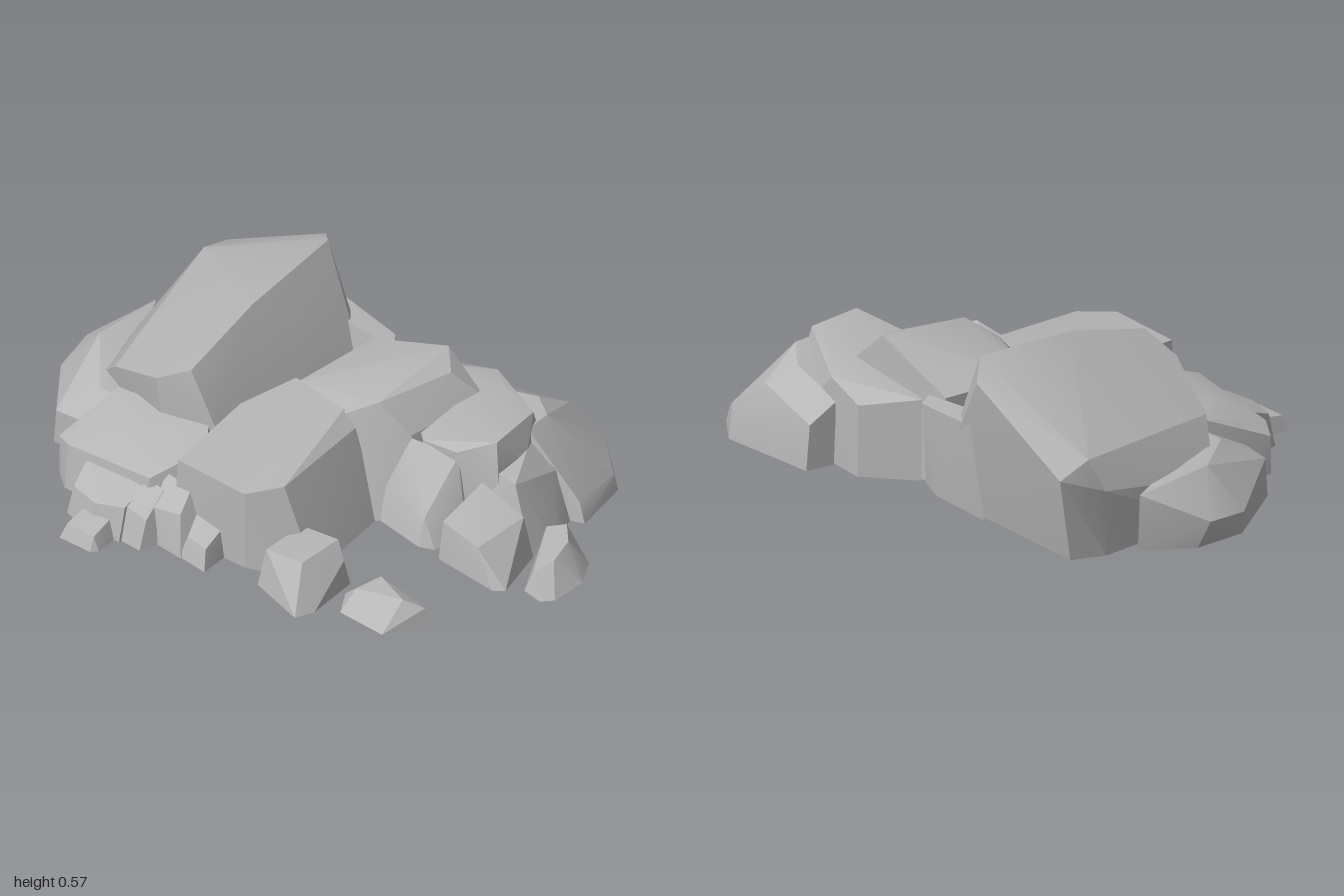
import * as THREE from 'three';
import { ConvexGeometry } from 'three/addons/geometries/ConvexGeometry.js';
import { toCreasedNormals } from 'three/addons/utils/BufferGeometryUtils.js';

// A faceted boulder: hull of upper corners [x, y, z] and ground corners [x, z].
// It is left open underneath and on the buried sides, given as directions [x, z].
function boulderGeometry(upper, ground, buried) {
  const corners = upper.map(p => new THREE.Vector3(...p));
  ground.forEach(([x, z]) => corners.push(new THREE.Vector3(x, 0, z)));
  const hull = new ConvexGeometry(corners).getAttribute('position');
  const kept = [];
  const normal = new THREE.Vector3();
  for (let i = 0; i < hull.count; i += 3) {
    const tri = [0, 1, 2].map(j => new THREE.Vector3().fromBufferAttribute(hull, i + j));
    new THREE.Triangle(...tri).getNormal(normal);
    const hidden = buried.some(([x, z]) => normal.x * x + normal.z * z > 0.8);
    if (hidden || tri.every(p => p.y < 0.001)) continue;
    tri.forEach(p => kept.push(p.x, p.y, p.z));
  }
  const geometry = new THREE.BufferGeometry();
  geometry.setAttribute('position', new THREE.Float32BufferAttribute(kept, 3));
  return toCreasedNormals(geometry, 0.35);
}

export function createModel() {
  const group = new THREE.Group();
  group.name = 'rockFormation';
  const stone = new THREE.MeshStandardMaterial({ color: 0xb6b6b6, side: THREE.DoubleSide });
  stone.name = 'grey stone';

  const rock = (name, upper, ground, buried = []) => {
    const mesh = new THREE.Mesh(boulderGeometry(upper, ground, buried), stone);
    mesh.name = name;
    group.add(mesh);
  };

  // Tall tilted slab and the ledge behind it
  rock('mainSlab',
    [[-0.78, 0.31, -0.56], [-0.78, 0.35, -0.44], [-0.38, 0.52, -0.565], [-0.31, 0.57, -0.49],
      [-0.31, 0.54, -0.1], [-0.315, 0.455, 0.21], [-0.43, 0.39, 0.245], [-0.66, 0.285, 0.17],
      [-0.8, 0.14, 0.08], [-0.82, 0.24, -0.4], [-0.22, 0.28, 0.21], [-0.18, 0.31, -0.45]],
    [[-0.08, -0.48], [-0.75, -0.49], [-0.8, -0.38], [-0.8, 0.06], [-0.4, 0.22], [-0.13, 0.18]]);
  rock('backLedge',
    [[-0.32, 0.34, -0.54], [-0.25, 0.33, -0.53], [-0.04, 0.31, -0.5], [0, 0.31, -0.44], [-0.2, 0.33, -0.44]],
    [[-0.34, -0.5], [-0.1, -0.49], [0, -0.45], [-0.1, -0.4]], [[-0.9, 0.4]]);

  // Low shoulders on the right-hand flank and front corner
  rock('sideShoulder',
    [[-0.99, 0.1, -0.1], [-0.85, 0.2, -0.28], [-0.86, 0.225, 0], [-0.97, 0.08, 0.06],
      [-0.84, 0.17, 0.12], [-0.7, 0.2, 0.2], [-0.79, 0.13, 0.31], [-0.69, 0.14, 0.315], [-0.62, 0.2, 0.2]],
    [[-0.95, -0.12], [-0.84, -0.28], [-0.96, 0.06], [-0.8, 0.31], [-0.66, 0.31], [-0.7, -0.1]], [[1, 0]]);
  rock('frontShoulder',
    [[-0.69, 0.14, 0.42], [-0.62, 0.24, 0.2], [-0.25, 0.27, 0.2], [-0.22, 0.23, 0.38],
      [-0.27, 0.2, 0.48], [-0.62, 0.16, 0.46], [-0.5, 0.23, 0.36], [-0.18, 0.24, 0.3]],
    [[-0.68, 0.43], [-0.65, 0.24], [-0.62, 0.48], [-0.28, 0.505], [-0.17, 0.43], [-0.17, 0.2]], [[0, -1]]);

  // Two central blocks
  rock('centreFrontBlock',
    [[-0.2, 0.31, 0.1], [-0.13, 0.33, -0.1], [0.115, 0.355, -0.04], [0.18, 0.3, 0.35],
      [0.1, 0.295, 0.455], [-0.18, 0.295, 0.445], [0.17, 0.31, -0.03]],
    [[0.27, -0.03], [0.3, 0.34], [0.2, 0.42], [0.1, 0.455], [-0.2, 0.45], [-0.2, 0.1], [-0.12, -0.1]], [[0, -1]]);
  rock('centreBackBlock',
    [[-0.075, 0.32, -0.43], [0.235, 0.435, -0.43], [0.22, 0.4, -0.09], [0.3, 0.4, -0.36],
      [0.38, 0.3, -0.43], [0.32, 0.29, -0.13], [-0.12, 0.32, -0.1], [0.13, 0.35, -0.03]],
    [[0.4, -0.44], [0.36, -0.08], [0.27, 0], [0.15, -0.02], [-0.11, -0.1], [-0.06, -0.44]]);

  // Stepped cluster at the back left
  rock('clusterBlock',
    [[0.03, 0.28, -0.44], [0.085, 0.25, -0.49], [0.18, 0.25, -0.58], [0.325, 0.3, -0.57],
      [0.43, 0.325, -0.48], [0.59, 0.34, -0.42], [0.6, 0.34, -0.22], [0.49, 0.29, -0.15],
      [0.36, 0.285, -0.14], [0.63, 0.22, -0.19], [0.64, 0.22, -0.32]],
    [[0.02, -0.45], [0.18, -0.585], [0.58, -0.55], [0.64, -0.3], [0.61, -0.18], [0.4, -0.12], [0.3, -0.13]],
    [[-0.7, 0.7]]);
  rock('clusterButtress',
    [[0.32, 0.28, -0.13], [0.49, 0.27, -0.16], [0.47, 0.1, -0.01], [0.29, 0.14, -0.05], [0.53, 0.14, -0.13]],
    [[0.25, -0.02], [0.47, 0.02], [0.52, 0], [0.57, -0.12], [0.3, -0.2]], [[0, -1]]);
  rock('clusterBackBlock',
    [[0.3, 0.22, -0.57], [0.315, 0.16, -0.67], [0.5, 0.28, -0.56], [0.55, 0.225, -0.655],
      [0.6, 0.3, -0.48], [0.6, 0.3, -0.38], [0.68, 0.18, -0.4], [0.67, 0.12, -0.69],
      [0.77, 0.06, -0.61], [0.78, 0.07, -0.42]],
    [[0.3, -0.58], [0.32, -0.68], [0.67, -0.705], [0.78, -0.62], [0.81, -0.41], [0.72, -0.38], [0.6, -0.36]],
    [[-0.5, 0.87]]);
  rock('clusterSideBlock',
    [[0.6, 0.24, -0.2], [0.6, 0.26, -0.4], [0.7, 0.235, -0.19], [0.7, 0.17, -0.4], [0.76, 0.09, -0.27]],
    [[0.6, -0.14], [0.79, -0.16], [0.8, -0.28], [0.76, -0.4]], [[-1, 0]]);

  // Loose stones on the left
  rock('leftStone',
    [[0.57, 0.15, 0.02], [0.58, 0.2, -0.17], [0.75, 0.14, -0.17], [0.72, 0.12, 0.03]],
    [[0.56, 0.03], [0.8, 0.055], [0.835, 0.03], [0.79, -0.17], [0.58, -0.18]], [[0, -1]]);
  rock('leftOuterStone',
    [[0.78, 0.07, -0.25], [0.84, 0.09, -0.28], [0.91, 0.1, -0.2], [0.93, 0.09, -0.1], [0.9, 0.07, -0.03]],
    [[0.77, -0.25], [0.83, -0.29], [0.95, -0.255], [1, -0.16], [0.99, -0.03], [0.955, 0.005], [0.88, -0.01]]);

  // Loose stones in front
  rock('squareStone',
    [[0.22, 0.14, 0.31], [0.37, 0.155, 0.31], [0.35, 0.145, 0.47], [0.21, 0.14, 0.48], [0.41, 0.1, 0.33]],
    [[0.21, 0.3], [0.42, 0.31], [0.425, 0.5], [0.395, 0.565], [0.19, 0.5]]);
  rock('flatStone',
    [[0.53, 0.07, 0.29], [0.68, 0.09, 0.365], [0.5, 0.06, 0.38], [0.74, 0.06, 0.325]],
    [[0.44, 0.36], [0.52, 0.26], [0.75, 0.32], [0.67, 0.46], [0.49, 0.45]]);
  rock('frontStone',
    [[-0.53, 0.15, 0.48], [-0.29, 0.16, 0.48], [-0.3, 0.12, 0.57], [-0.4, 0.11, 0.6], [-0.51, 0.11, 0.57]],
    [[-0.54, 0.48], [-0.53, 0.58], [-0.42, 0.615], [-0.3, 0.6], [-0.28, 0.48]], [[0, -1]]);
  rock('frontPebble',
    [[-0.45, 0.065, 0.6], [-0.34, 0.07, 0.6], [-0.34, 0.05, 0.68], [-0.45, 0.05, 0.68]],
    [[-0.465, 0.6], [-0.465, 0.7], [-0.34, 0.7], [-0.32, 0.68], [-0.32, 0.6]], [[0, -1]]);
  rock('frontWedge',
    [[-0.29, 0.18, 0.46], [-0.22, 0.17, 0.47], [-0.22, 0.1, 0.56], [-0.3, 0.12, 0.56]],
    [[-0.32, 0.48], [-0.31, 0.59], [-0.22, 0.595], [-0.18, 0.5]], [[0, -1]]);
  rock('frontSpur',
    [[-0.25, 0.2, 0.42], [-0.13, 0.2, 0.44], [-0.12, 0.14, 0.51], [-0.22, 0.13, 0.52]],
    [[-0.27, 0.43], [-0.24, 0.53], [-0.09, 0.545], [-0.05, 0.45]], [[0, -1]]);
  rock('frontChip',
    [[-0.1, 0.12, 0.45], [0, 0.1, 0.45], [0, 0.07, 0.53], [-0.08, 0.08, 0.52]],
    [[-0.12, 0.45], [-0.1, 0.54], [0.015, 0.555], [0.015, 0.45]], [[0, -1]]);

  return group;
}
